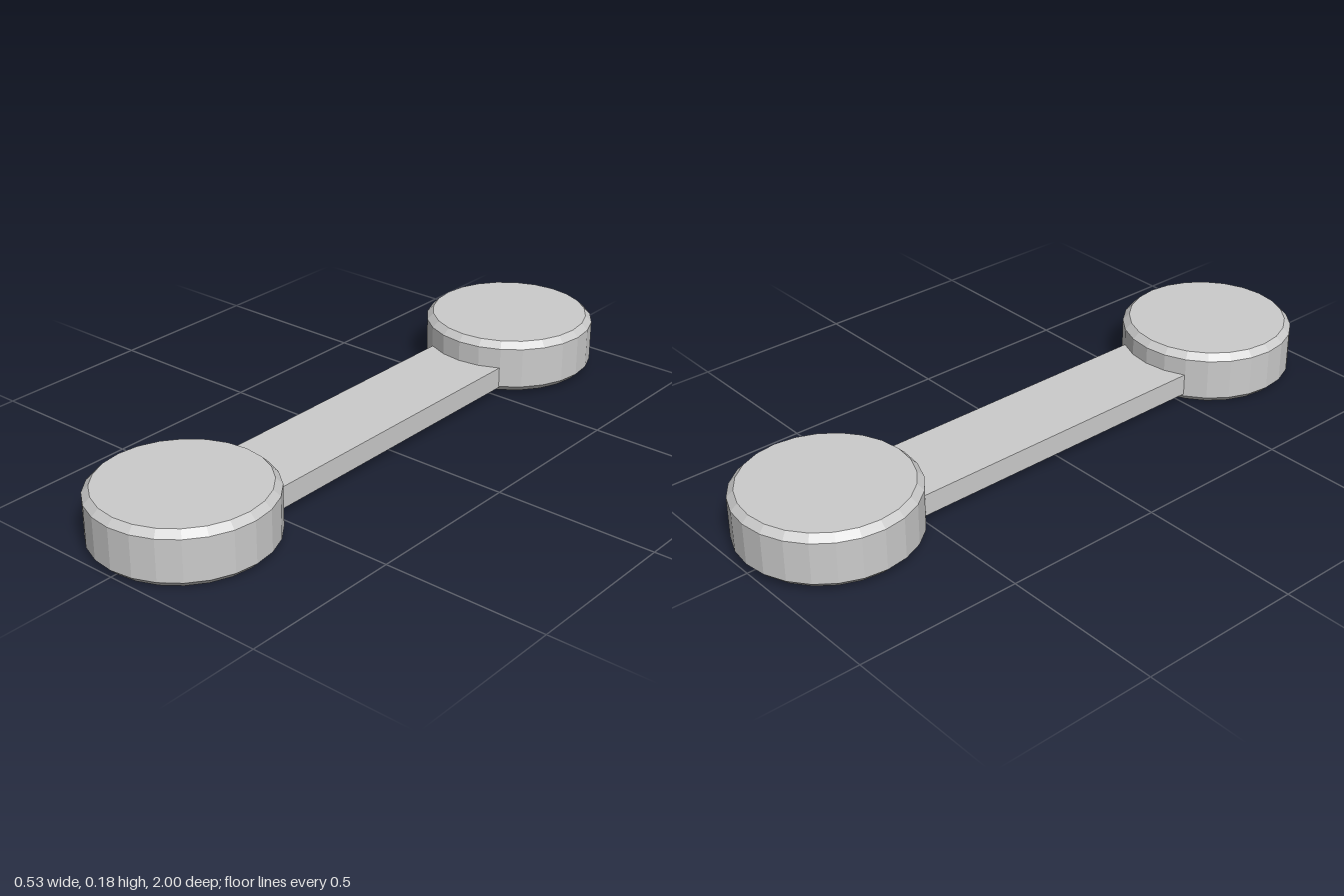
import * as THREE from 'three';

export function createModel() {
  const model = new THREE.Group();
  const material = new THREE.MeshStandardMaterial({ color: 0xcccccc, flatShading: true });

  const add = (name, geometry, x, y, z) => {
    const mesh = new THREE.Mesh(geometry, material);
    mesh.name = name;
    mesh.position.set(x, y, z);
    model.add(mesh);
  };

  // Faceted disc with chamfered rims, standing on its own y = 0
  const radius = 0.265, height = 0.167, chamfer = 0.02;
  const profile = [
    [0, 0], [radius - chamfer, 0], [radius, chamfer],
    [radius, height - chamfer], [radius - chamfer, height], [0, height],
  ].map(([r, y]) => new THREE.Vector2(r, y));
  const disc = new THREE.LatheGeometry(profile, 24);

  // The back disc sits slightly higher than the front one
  add('frontDisc', disc, 0, 0, 0.735);
  add('backDisc', disc, 0, 0.01, -0.735);

  // Flat bar whose ends are sunk into both discs
  add('connectingBar', new THREE.BoxGeometry(0.262, 0.067, 1.12), 0, 0.06, 0);

  return model;
}
